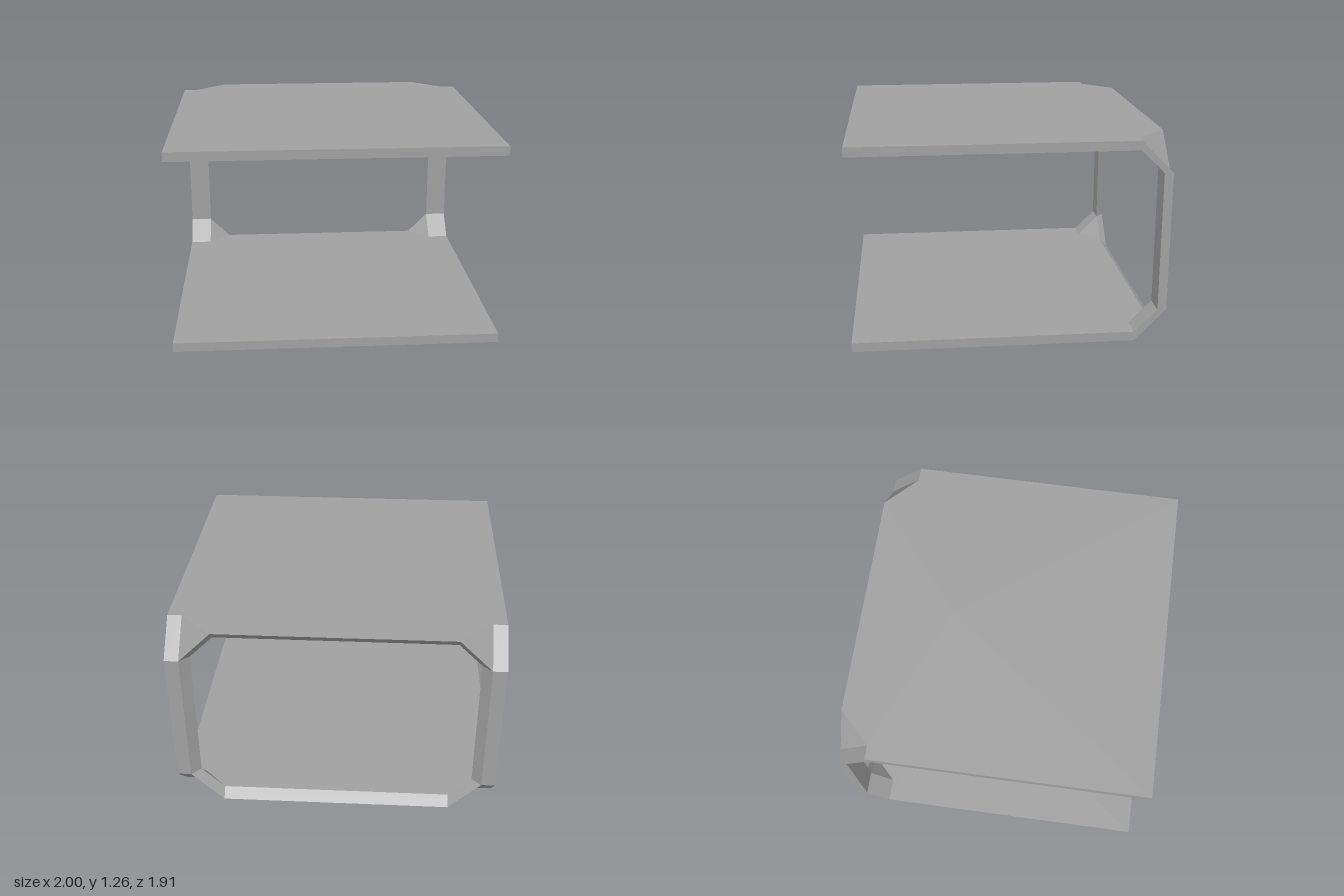
import * as THREE from 'three';

const H = 1.257, MID = H / 2;      // overall height and mirror plane
const IN_Y = 1.2;                  // inner face of the upper plate
const LOW = 1.06;                  // where a corner brace meets its post
const BACK = -0.955, IN_Z = -0.9;  // outer and inner back faces
const BEND = -0.76;                // where a plate meets its corner brace
const SIDE = 1, RIM = 0.914, IN_RIM = 0.857, CUT = 0.715;

// Closed-in panel between matching outer and inner loops; walls lists the edges that are exposed.
function panel(name, outer, inner, walls, sx = 1, sy = 1) {
  const pos = [];
  const tri = (a, b, c) => {
    for (const p of sx * sy < 0 ? [a, c, b] : [a, b, c]) {
      pos.push(p[0] * sx, MID + (p[1] - MID) * sy, p[2]);
    }
  };
  const centre = (loop) => [0, 1, 2].map((k) => loop.reduce((s, p) => s + p[k], 0) / loop.length);
  const co = centre(outer), ci = centre(inner), n = outer.length;
  for (let i = 0; i < n; i++) {
    const j = (i + 1) % n;
    tri(co, outer[i], outer[j]);
    tri(ci, inner[j], inner[i]);
    if (walls.includes(i)) {
      tri(outer[i], inner[i], inner[j]);
      tri(outer[i], inner[j], outer[j]);
    }
  }
  const geo = new THREE.BufferGeometry();
  geo.setAttribute('position', new THREE.Float32BufferAttribute(pos, 3));
  geo.computeVertexNormals();
  const mesh = new THREE.Mesh(geo, new THREE.MeshStandardMaterial({ color: 0xa0a0a0, flatShading: true }));
  mesh.name = name;
  return mesh;
}

// Plate outline: half of it, then its mirror
function plateLoop(y, rim, back) {
  const half = [[SIDE, y, -BACK], [SIDE, y, BEND], [rim, y, BEND], [CUT, y, back]];
  return [...half, ...half.map(([x, py, z]) => [-x, py, z]).reverse()];
}
const braceLoop = (y, rim, back) => [[SIDE, y, BEND], [SIDE, LOW, back], [rim, LOW, back], [rim, y, BEND]];
const gussetLoop = (y, rim, back) => [[rim, y, BEND], [rim, LOW, back], [CUT, y, back]];
const postLoop = (rim, z) => [[SIDE, LOW, z], [SIDE, H - LOW, z], [rim, H - LOW, z], [rim, LOW, z]];

export function createModel() {
  const model = new THREE.Group();
  model.name = 'openFrame';

  for (const sy of [1, -1]) {
    const level = sy > 0 ? 'top' : 'bottom';
    // Plate with a bevelled back edge
    model.add(panel(level + 'Plate', plateLoop(H, RIM, BACK), plateLoop(IN_Y, IN_RIM, IN_Z), [0, 3, 6, 7], 1, sy));

    for (const sx of [1, -1]) {
      const corner = level + (sx > 0 ? 'Left' : 'Right');
      // Sloping brace and the triangular facet beside it
      model.add(
        panel(corner + 'Brace', braceLoop(H, RIM, BACK), braceLoop(IN_Y, IN_RIM, IN_Z), [0], sx, sy),
        panel(corner + 'Gusset', gussetLoop(H, RIM, BACK), gussetLoop(IN_Y, IN_RIM, IN_Z), [1], sx, sy)
      );
    }
  }

  // Back posts with a bevelled inner edge
  for (const sx of [1, -1]) {
    model.add(panel(sx > 0 ? 'leftPost' : 'rightPost', postLoop(RIM, BACK), postLoop(IN_RIM, IN_Z), [0, 2], sx));
  }
  return model;
}
